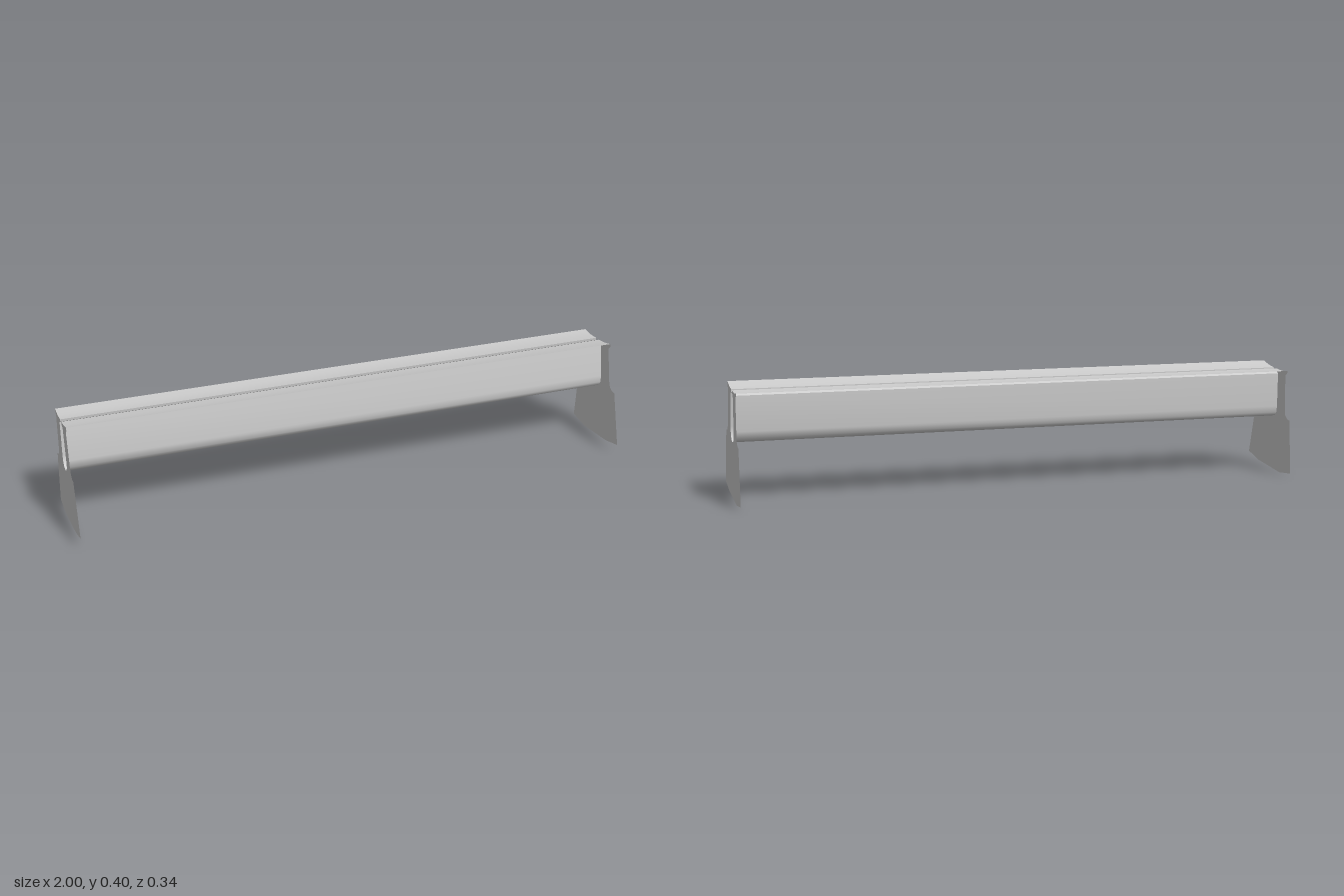
import * as THREE from 'three';
import { toCreasedNormals } from 'three/addons/utils/BufferGeometryUtils.js';

// Cross-section points are [z, y].
// Open sheet: front flange top, down through the slot, up to the rear flange top.
const channel = [
  [0.065, 0.4], [0.022, 0.389], [-0.02, 0.383], [-0.02, 0.374], [-0.003, 0.369],
  [0.015, 0.252], [0.015, 0.227], [0.003, 0.21], [-0.017, 0.203], [-0.037, 0.208],
  [-0.049, 0.22], [-0.053, 0.243], [-0.055, 0.365], [-0.042, 0.373], [-0.041, 0.382],
  [-0.085, 0.378], [-0.128, 0.382],
];
// Remaining outline of the end plates: rear post, flared base, front post.
const outer = [
  [-0.128, 0.372], [-0.114, 0.364], [-0.116, 0.236], [-0.12, 0.218], [-0.135, 0.206],
  [-0.154, 0.203], [-0.172, 0.01], [-0.085, 0], [0.09, 0.018], [0.172, 0.039],
  [0.122, 0.227], [0.103, 0.227], [0.087, 0.236], [0.078, 0.257], [0.055, 0.378],
  [0.068, 0.39],
];

// Sweep an open section along x from -1 to 1.
function sweepSheet(section) {
  const positions = [];
  for (let i = 0; i < section.length - 1; i++) {
    const [az, ay] = section[i];
    const [bz, by] = section[i + 1];
    positions.push(-1, ay, az, 1, ay, az, 1, by, bz);
    positions.push(-1, ay, az, 1, by, bz, -1, by, bz);
  }
  const geometry = new THREE.BufferGeometry();
  geometry.setAttribute('position', new THREE.Float32BufferAttribute(positions, 3));
  return toCreasedNormals(geometry, 0.8);
}

export function createModel() {
  const model = new THREE.Group();
  model.name = 'slottedChannel';
  const material = new THREE.MeshStandardMaterial({ color: 0xcccccc, side: THREE.DoubleSide });

  // Long slotted channel with its two top flanges
  const sheet = new THREE.Mesh(sweepSheet(channel), material);
  sheet.name = 'channelSheet';
  model.add(sheet);

  // Thin plates closing both ends
  const outline = new THREE.Shape([...channel, ...outer].map(([z, y]) => new THREE.Vector2(z, y)));
  for (const side of [-1, 1]) {
    const geometry = new THREE.ShapeGeometry(outline).rotateY(-Math.PI / 2);
    const plate = new THREE.Mesh(geometry, material);
    plate.position.x = side;
    plate.name = side > 0 ? 'leftEndPlate' : 'rightEndPlate';
    model.add(plate);
  }
  return model;
}
